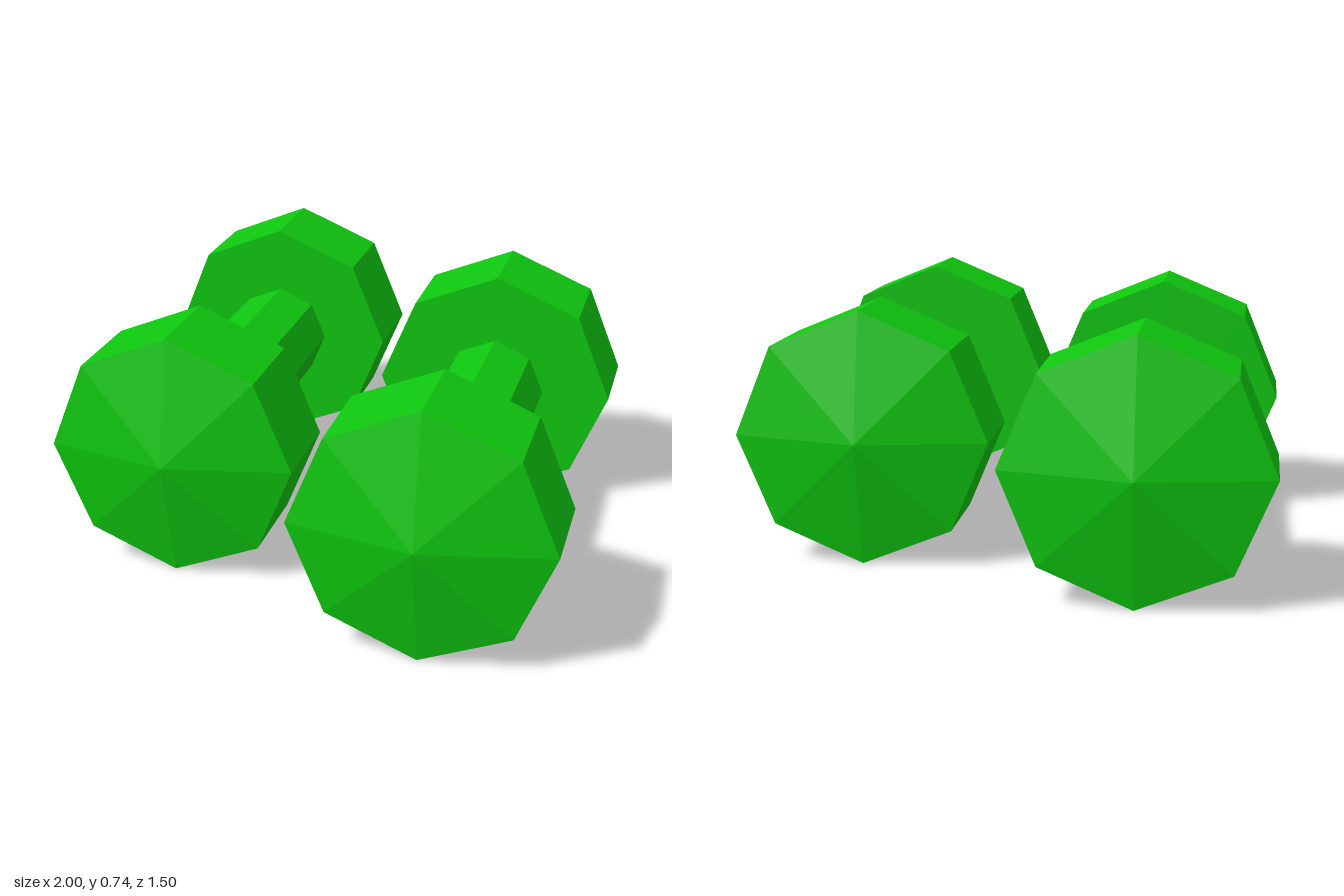
import * as THREE from 'three';

const SIDES = 8;
const HEAD_R = 0.37, BAR_R = 0.16;
const INNER = 0.38, OUTER = 0.667, APEX = 0.744;

export function createModel() {
  const green = new THREE.MeshStandardMaterial({ color: 0x0fc60f, flatShading: true });
  green.name = 'green';

  // Octagonal weight with a shallow pointed outer cap, pointing along +z
  const headProfile = [[0, INNER], [HEAD_R, INNER], [HEAD_R, OUTER], [0, APEX]]
    .map(([r, h]) => new THREE.Vector2(r, h));
  const headGeometry = new THREE.LatheGeometry(headProfile, SIDES).rotateX(Math.PI / 2);

  // Octagonal grip between the two weights
  const barGeometry = new THREE.CylinderGeometry(BAR_R, BAR_R, INNER * 2, SIDES, 1, true)
    .rotateX(Math.PI / 2);

  function part(name, geometry, turn = 0) {
    const mesh = new THREE.Mesh(geometry, green);
    mesh.name = name;
    mesh.rotation.y = turn;
    return mesh;
  }

  function dumbbell(name, x) {
    const group = new THREE.Group();
    group.name = name;
    group.add(
      part('bar', barGeometry),
      part('frontWeight', headGeometry),
      part('backWeight', headGeometry, Math.PI)
    );
    group.position.set(x, HEAD_R, 0);
    group.rotation.y = THREE.MathUtils.degToRad(19.3);
    return group;
  }

  // A parallel pair resting side by side
  const model = new THREE.Group();
  model.name = 'dumbbellPair';
  model.add(dumbbell('rightDumbbell', -0.429), dumbbell('leftDumbbell', 0.429));
  return model;
}
